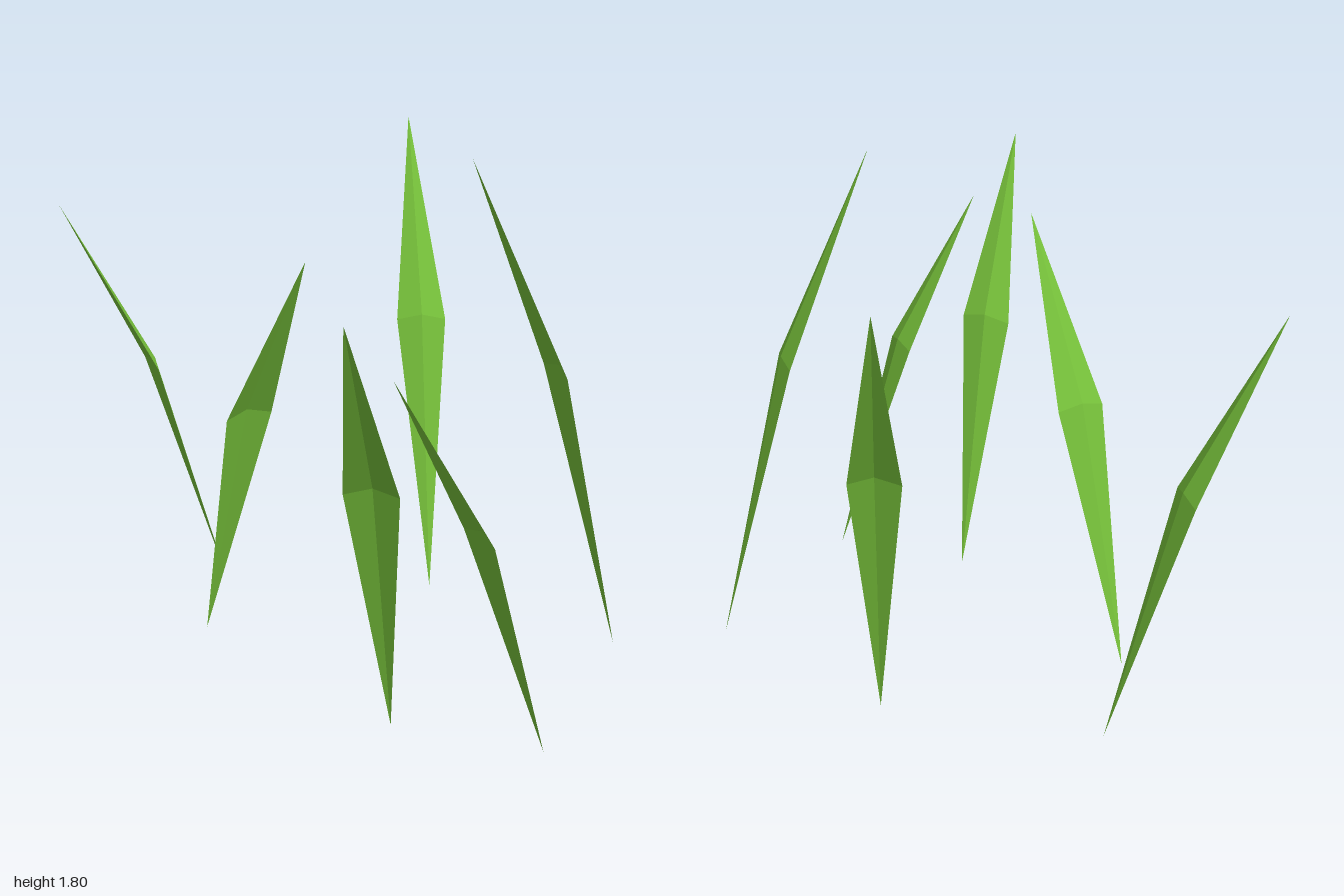
import * as THREE from 'three';

// Each blade: root, two shoulder points and tip, as [x, y, z]
const BLADES = [
  { root: [-0.58, 0.01, -0.31], a: [-0.83, 0.865, -0.19], b: [-0.705, 0.87, -0.08], tip: [-1.0, 1.48, 0.07] },
  { root: [0.16, 0.01, -0.55], a: [0.09, 0.97, -0.8], b: [-0.065, 0.97, -0.715], tip: [-0.165, 1.66, -1.0] },
  { root: [-0.4, 0.01, 0.13], a: [-0.11, 0.9, 0.165], b: [-0.2, 0.9, 0.31], tip: [0.13, 1.52, 0.37] },
  { root: [0.495, 0.01, 0.47], a: [0.445, 0.92, 0.725], b: [0.625, 0.93, 0.695], tip: [0.585, 1.57, 1.0] },
  { root: [1.0, 0.0, 0.385], a: [0.915, 0.8, 0.635], b: [0.77, 0.8, 0.54], tip: [0.66, 1.36, 0.825] },
  { root: [0.93, 0.01, -0.43], a: [0.675, 1.05, -0.315], b: [0.805, 1.05, -0.205], tip: [0.51, 1.8, -0.055] },
];

// Four facets meeting at a slightly raised midrib point
function bladeGeometry(blade) {
  const [root, a, b, tip] = [blade.root, blade.a, blade.b, blade.tip].map((p) => new THREE.Vector3(...p));
  const lean = tip.clone().sub(root).setY(0).normalize();
  const rib = a.clone().add(b).multiplyScalar(0.5).addScaledVector(lean, -0.012);
  rib.y += 0.022;
  const facets = [root, a, rib, root, rib, b, a, tip, rib, rib, tip, b];
  const geometry = new THREE.BufferGeometry().setFromPoints(facets);
  geometry.computeVertexNormals();
  return geometry;
}

export function createModel() {
  const group = new THREE.Group();
  group.name = 'grassTuft';
  const green = new THREE.MeshStandardMaterial({ color: 0x76c03a, side: THREE.DoubleSide, flatShading: true });
  green.name = 'grassGreen';
  BLADES.forEach((blade, i) => {
    const mesh = new THREE.Mesh(bladeGeometry(blade), green);
    mesh.name = `grassBlade${i + 1}`;
    group.add(mesh);
  });
  return group;
}
